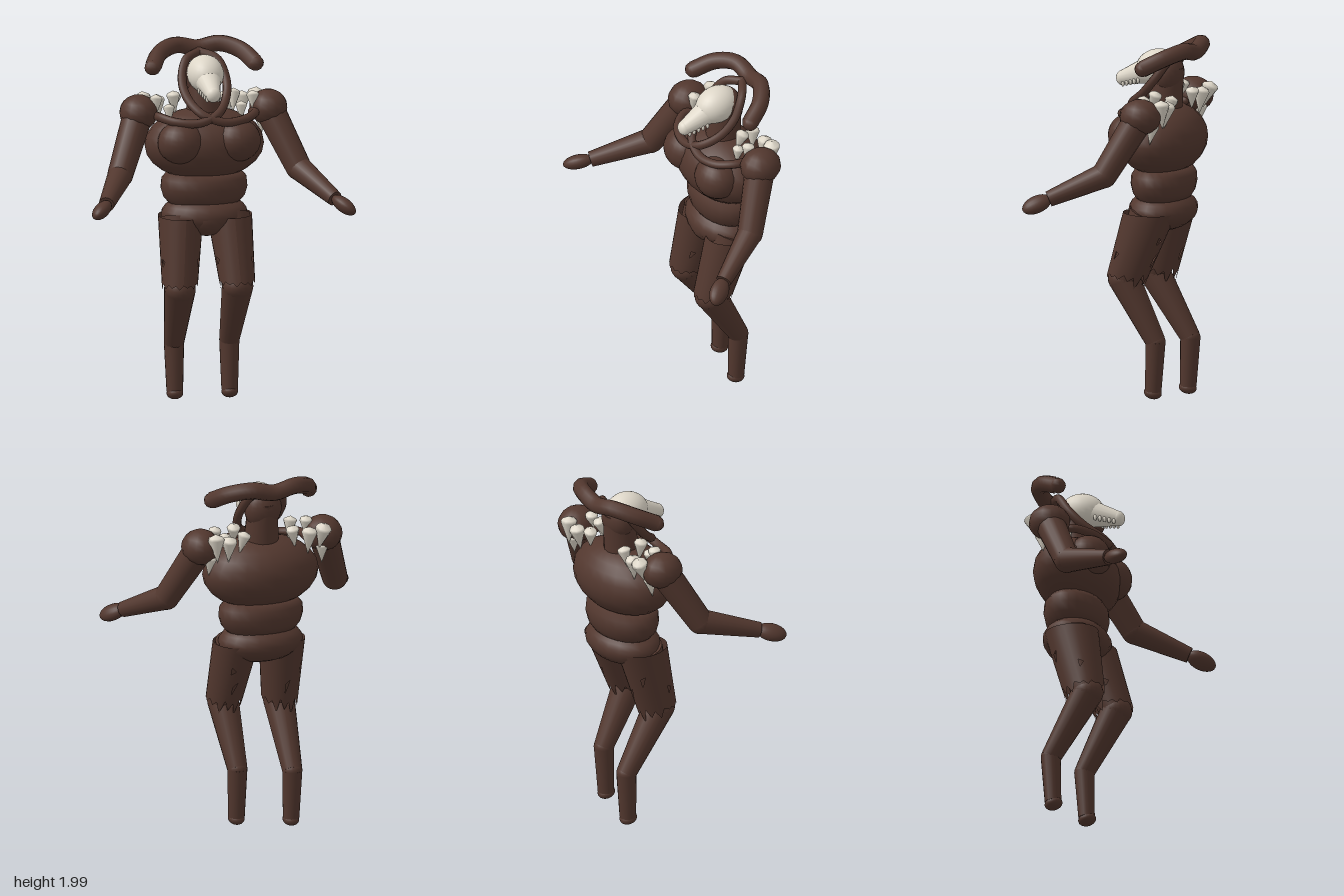
import * as THREE from 'three';

const brown = new THREE.MeshStandardMaterial({ name: 'dark brown hide', color: 0x52372e });
const cloth = new THREE.MeshStandardMaterial({ name: 'dark brown cloth', color: 0x52372e, side: THREE.DoubleSide });
const bone = new THREE.MeshStandardMaterial({ name: 'pale bone', color: 0xddd6c8 });

const V = (p) => new THREE.Vector3(...p);
const UP = new THREE.Vector3(0, 1, 0);

export function createModel() {
  const model = new THREE.Group();
  model.name = 'hornedFigure';

  const add = (name, geometry, material = brown) => {
    const mesh = new THREE.Mesh(geometry, material);
    mesh.name = name;
    model.add(mesh);
    return mesh;
  };
  // Ellipsoid at a point
  const ball = (name, at, radii, material = brown, w = 20, h = 14) => {
    const mesh = add(name, new THREE.SphereGeometry(1, w, h), material);
    mesh.position.set(...at);
    mesh.scale.set(...radii);
    return mesh;
  };
  // Tapered limb from a to b
  const limb = (name, a, b, ra, rb, material = brown) => {
    const from = V(a), to = V(b), dir = to.clone().sub(from);
    const mesh = add(name, new THREE.CylinderGeometry(rb, ra, dir.length(), 18), material);
    mesh.position.copy(from).lerp(to, 0.5);
    mesh.quaternion.setFromUnitVectors(UP, dir.normalize());
    return mesh;
  };
  const tube = (name, points, radius, segments = 32, caps = false) => {
    const curve = new THREE.CatmullRomCurve3(points.map(V));
    add(name, new THREE.TubeGeometry(curve, segments, radius, 10));
    if (caps) [points[0], points.at(-1)].forEach((p) => ball(name + 'Tip', p, [radius, radius, radius], brown, 10, 8));
  };

  // Torso
  ball('chest', [0, 1.44, -0.165], [0.33, 0.2, 0.225], brown, 24, 12);
  add('waist', new THREE.LatheGeometry([
    [0, 1.1], [0.19, 1.11], [0.225, 1.15], [0.24, 1.2], [0.235, 1.25], [0.2, 1.29], [0, 1.3],
  ].map(([r, y]) => new THREE.Vector2(r, y)), 24)).scale.z = 0.7;
  model.getObjectByName('waist').position.z = -0.17;
  ball('pelvis', [0, 1.05, -0.165], [0.24, 0.115, 0.18]);
  ball('groin', [0, 1.04, -0.1], [0.13, 0.1, 0.115]);
  limb('neck', [0, 1.56, -0.17], [0, 1.84, -0.2], 0.1, 0.08);
  ball('headBack', [0, 1.8, -0.2], [0.105, 0.11, 0.08]);

  // Skull and snout
  ball('skull', [0, 1.83, -0.135], [0.1, 0.1, 0.125], bone, 24, 16).rotation.x = 0.2;
  limb('snout', [0, 1.805, -0.07], [0, 1.755, 0.075], 0.072, 0.04, bone);
  ball('snoutTip', [0, 1.755, 0.075], [0.04, 0.042, 0.035], bone);
  for (const s of [-1, 1]) {
    for (let i = 0; i < 5; i++) {
      ball('tooth', [s * (0.055 - i * 0.006), 1.757 - i * 0.007, -0.04 + i * 0.025], [0.01, 0.018, 0.01], bone, 8, 6);
    }
  }

  // Curved horns joined behind the head
  tube('horns', [[-0.285, 1.87, -0.165], [-0.225, 1.925, -0.27], [-0.12, 1.952, -0.34], [0, 1.93, -0.35],
    [0.12, 1.952, -0.34], [0.225, 1.925, -0.27], [0.285, 1.87, -0.165]], 0.046, 30, false);
  for (const s of [-1, 1]) {
    ball('hornTip', [s * 0.285, 1.87, -0.165], [0.046, 0.042, 0.042], brown, 10, 8);
  }

  for (const s of [-1, 1]) {
    ball('breast', [s * 0.155, 1.475, -0.035], [0.13, 0.118, 0.118]);

    // Cord circling the face, crossing at the throat and lying over the chest
    tube('cord', [[0, 1.92, -0.3], [s * 0.085, 1.89, -0.24], [s * 0.122, 1.79, -0.17], [s * 0.105, 1.7, -0.09],
      [s * 0.04, 1.63, 0.0], [s * -0.07, 1.59, 0.025], [s * -0.19, 1.595, -0.005], [s * -0.265, 1.61, -0.09],
      [s * -0.27, 1.6, -0.18]], 0.024, 48, true);

    // Arm
    const shoulder = [s * 0.36, 1.62, -0.185];
    const elbow = [s * 0.495, 1.31, -0.03];
    const wrist = s < 0 ? [-0.635, 1.215, 0.27] : [0.64, 1.185, 0.235];
    const hand = s < 0 ? [-0.672, 1.197, 0.325] : [0.678, 1.158, 0.288];
    ball('shoulder', shoulder, [0.105, 0.098, 0.115], brown, 14, 10);
    limb('upperArm', shoulder, elbow, 0.083, 0.07);
    ball('elbow', elbow, [0.07, 0.07, 0.07]);
    limb('forearm', elbow, wrist, 0.069, 0.043);
    const palm = ball('hand', hand, [0.052, 0.085, 0.04]);
    palm.quaternion.setFromUnitVectors(UP, V(hand).sub(V(wrist)).normalize());

    // Leg, with the left one a little further forward
    const hip = [s * 0.135, 1.04, -0.145];
    const knee = s < 0 ? [-0.16, 0.66, -0.045] : [0.15, 0.675, 0.0];
    const ankle = s < 0 ? [-0.147, 0.32, -0.262] : [0.143, 0.34, -0.182];
    const sole = s < 0 ? [-0.145, 0.05, -0.25] : [0.142, 0.065, -0.168];
    limb('thigh', hip, knee, 0.115, 0.084);
    ball('knee', knee, [0.086, 0.08, 0.09]);
    limb('shin', knee, ankle, 0.086, 0.055);
    ball('ankle', ankle, [0.055, 0.05, 0.055]);
    limb('lowerShin', ankle, sole, 0.055, 0.045);
    const foot = ball('foot', [sole[0], sole[1] - 0.01, sole[2] + 0.003], [0.045, 0.033, 0.05]);
    foot.rotation.x = -0.2;
    add('trouserLeg', trouserLeg(V(hip), V(knee), s), cloth);
  }

  // Bone spikes around the collar: blunt end up, point down
  const spikeProfile = [[0, -0.075], [0.015, -0.03], [0.04, 0.04], [0.034, 0.052], [0, 0.068]]
    .map(([r, y]) => new THREE.Vector2(r, y));
  const spikeGeometry = new THREE.LatheGeometry(spikeProfile, 9);
  const spikes = [ // x, y, z, size
    [0.27, 1.66, -0.16, 0.9], [0.165, 1.67, -0.18, 0.95], [0.2, 1.615, -0.14, 0.8],
    [0.15, 1.645, -0.27, 0.95], [0.235, 1.62, -0.285, 1.1], [0.31, 1.635, -0.29, 1.15], [0.33, 1.53, -0.24, 0.9],
  ];
  for (const s of [-1, 1]) {
    spikes.forEach(([x, y, z, size], i) => {
      const spike = add('collarSpike', spikeGeometry, bone);
      spike.position.set(s * x, y, z);
      spike.scale.setScalar(size);
      spike.rotation.set(-0.15, i, s * (i % 2 ? -0.2 : 0.05));
    });
  }
  return model;
}

// Torn trouser leg: a loose sleeve whose hem hangs in points at the back
function trouserLeg(hip, knee, s) {
  const cols = 28, rows = 8, pos = [], index = [];
  for (let r = 0; r <= rows; r++) {
    for (let c = 0; c <= cols; c++) {
      const a = (c / cols) * Math.PI * 2;
      const k = c % cols;
      const back = Math.max(0, -Math.cos(a));
      const jag = [0, 0.07, 0.02, 0.11][k % 4] * (0.3 + 0.9 * back);
      const t = (r / rows) * (0.93 + jag * 2);
      const p = hip.clone().lerp(knee, Math.min(t, 1.2));
      const rx = 0.122 - 0.026 * t, rz = 0.15 - 0.052 * t;
      pos.push(p.x + Math.sin(a) * rx, p.y + 0.01, p.z + Math.cos(a) * rz - 0.035 * back * t);
    }
  }
  for (let r = 0; r < rows; r++) {
    for (let c = 0; c < cols; c++) {
      const i = r * (cols + 1) + c, j = i + cols + 1;
      // A few small rips
      const rip = (r === 5 && c % 9 === 4) || (r === 3 && c === (s > 0 ? 12 : 17));
      if (!rip) index.push(i, j, i + 1);
      index.push(i + 1, j, j + 1);
    }
  }
  const geometry = new THREE.BufferGeometry();
  geometry.setAttribute('position', new THREE.Float32BufferAttribute(pos, 3));
  geometry.setIndex(index);
  geometry.computeVertexNormals();
  return geometry;
}
